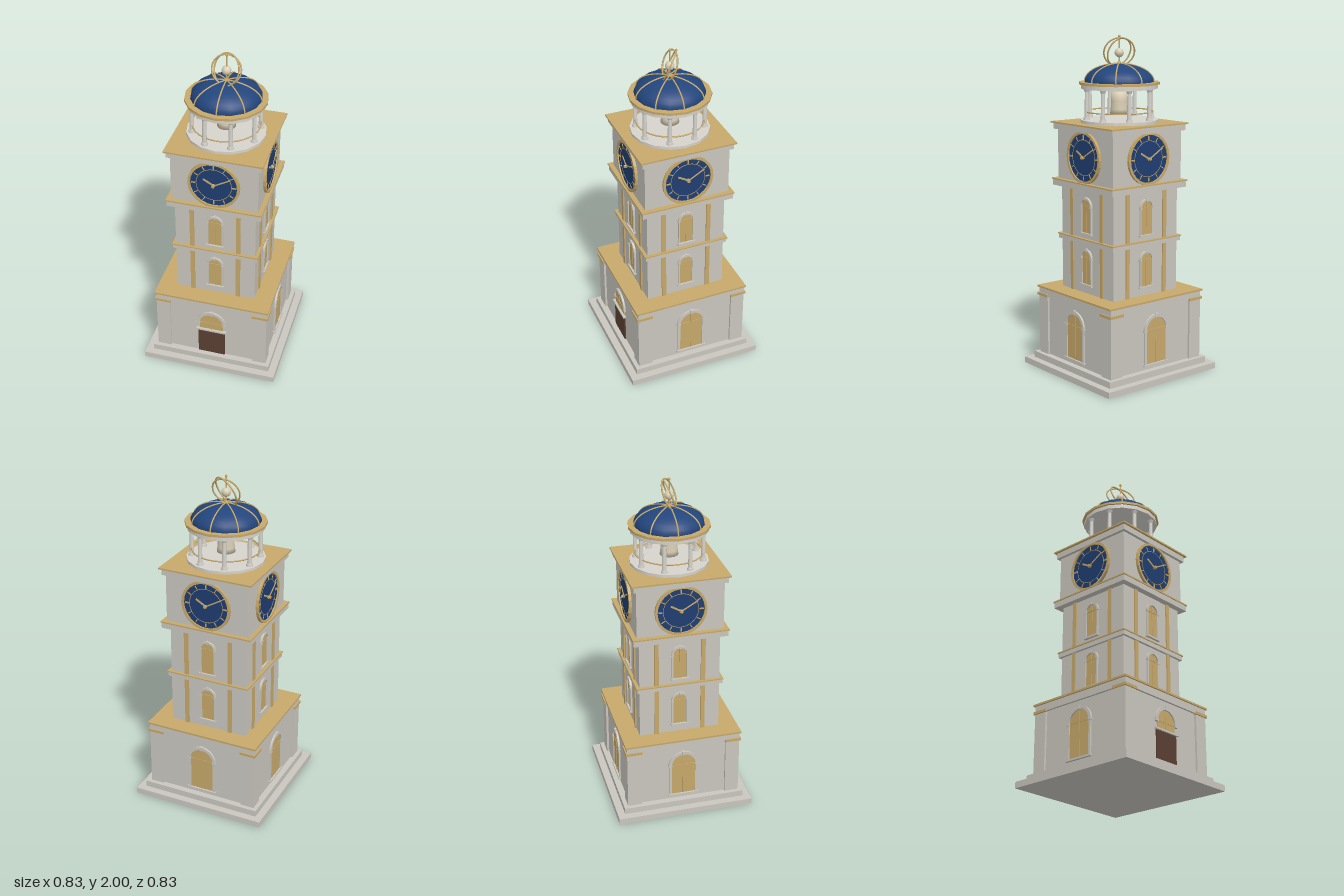
import * as THREE from 'three';

const mat = (name, color) => Object.assign(new THREE.MeshStandardMaterial({ color }), { name });

export function createModel() {
  const stone = mat('stone', 0xc9c6be), pale = mat('pale stone', 0xd6d3cc), gold = mat('gold', 0xc6a86a);
  const blue = mat('dome blue', 0x22457c), dialBlue = mat('dial blue', 0x1f3d70);
  const brown = mat('door brown', 0x5a4032), cream = mat('bell cream', 0xd9ceb4);
  const tower = new THREE.Group();
  tower.name = 'clockTower';

  const add = (parent, name, geo, m, x = 0, y = 0, z = 0) => {
    const mesh = new THREE.Mesh(geo, m);
    mesh.name = name;
    mesh.position.set(x, y, z);
    parent.add(mesh);
    return mesh;
  };
  const group = (parent, name) => {
    const g = new THREE.Group();
    g.name = name;
    parent.add(g);
    return g;
  };
  // box spanning y0..y1 and z0..z1, centred on x
  const box = (p, name, m, x, w, y0, y1, z0, z1) =>
    add(p, name, new THREE.BoxGeometry(w, y1 - y0, z1 - z0), m, x, (y0 + y1) / 2, (z0 + z1) / 2);
  const tier = (name, m, half, y0, y1) => box(tower, name, m, 0, half * 2, y0, y1, -half, half);
  const drum = (p, name, m, r0, r1, y0, y1, n = 16, x = 0, z = 0) =>
    add(p, name, new THREE.CylinderGeometry(r1, r0, y1 - y0, n), m, x, (y0 + y1) / 2, z);
  const extrude = (shape, depth) =>
    new THREE.ExtrudeGeometry(shape, { depth, bevelEnabled: false, curveSegments: 12 });

  // square tiers from the ground up
  tier('lowerStep', stone, 0.414, 0, 0.037);
  tier('upperStep', stone, 0.37, 0.037, 0.075);
  tier('baseBody', stone, 0.332, 0.075, 0.44);
  tier('baseCornice', stone, 0.345, 0.44, 0.484);
  tier('baseCorniceTop', gold, 0.354, 0.484, 0.495);
  tier('shaft', stone, 0.242, 0.495, 1.115);
  tier('middleBand', stone, 0.257, 0.792, 0.818);
  tier('middleBandTop', gold, 0.262, 0.818, 0.825);
  tier('clockLedge', stone, 0.28, 1.115, 1.15);
  tier('clockLedgeTop', gold, 0.285, 1.15, 1.158);
  tier('clockRoom', stone, 0.257, 1.158, 1.45);
  tier('clockCornice', stone, 0.275, 1.45, 1.486);
  tier('clockCorniceTop', gold, 0.288, 1.486, 1.495);

  // corner piers with gilded caps
  for (const x of [-1, 1]) for (const z of [-1, 1]) {
    add(tower, 'cornerPier', new THREE.BoxGeometry(0.085, 0.365, 0.085), stone, x * 0.3025, 0.2575, z * 0.3025);
    add(tower, 'pierCap', new THREE.BoxGeometry(0.098, 0.016, 0.098), gold, x * 0.304, 0.442, z * 0.304);
  }

  // arched window: r is the pane half width, wall is the z of the wall face
  const archWindow = (p, r, t, bottom, spring, wall, depth, jambs = true) => {
    const g = group(p, 'archedWindow');
    const pane = new THREE.Shape();
    pane.moveTo(-r, bottom);
    pane.lineTo(r, bottom);
    pane.lineTo(r, spring);
    pane.absarc(0, spring, r, 0, Math.PI, false);
    add(g, 'pane', extrude(pane, 0.004), gold, 0, 0, wall);
    const ring = new THREE.Shape();
    ring.absarc(0, spring, r + t, 0, Math.PI, false);
    ring.absarc(0, spring, r, Math.PI, 0, true);
    add(g, 'archMoulding', extrude(ring, depth), stone, 0, 0, wall);
    box(g, 'mullion', gold, 0, r * 0.09, bottom, spring + r, wall, wall + 0.007);
    box(g, 'transom', gold, 0, r * 2, spring - 0.003, spring + 0.003, wall, wall + 0.007);
    box(g, 'keystone', stone, 0, t * 1.1, spring + r - 0.002, spring + r + t + 0.004, wall, wall + depth + 0.003);
    for (const s of [-1, 1]) {
      box(g, 'impost', stone, s * (r + t / 2), t * 1.25, spring - 0.008, spring + 0.004, wall, wall + depth + 0.001);
      if (jambs) box(g, 'jamb', stone, s * (r + t * 0.4), t * 0.8, bottom, spring, wall, wall + depth * 0.8);
    }
    if (jambs) box(g, 'sill', stone, 0, (r + t) * 2 + 0.006, bottom - 0.011, bottom, wall, wall + depth + 0.003);
    return g;
  };

  // clock with rim, hour marks and hands, centred on its own origin
  const clock = (p, y, wall) => {
    const g = group(p, 'clock');
    g.position.set(0, y, wall);
    add(g, 'dial', new THREE.CylinderGeometry(0.145, 0.145, 0.008, 32), dialBlue, 0, 0, 0.004).rotation.x = Math.PI / 2;
    const rim = new THREE.Shape().absarc(0, 0, 0.153, 0, Math.PI * 2);
    rim.holes.push(new THREE.Path().absarc(0, 0, 0.138, 0, Math.PI * 2, true));
    add(g, 'rim', extrude(rim, 0.016), gold);
    add(g, 'minuteRing', new THREE.TorusGeometry(0.104, 0.0018, 4, 32), gold, 0, 0, 0.008);
    const bar = (name, angle, r0, r1, w, z) => {
      const m = add(g, name, new THREE.BoxGeometry(w, r1 - r0, 0.004), gold,
        -Math.sin(angle) * (r0 + r1) / 2, Math.cos(angle) * (r0 + r1) / 2, z);
      m.rotation.z = angle;
    };
    for (let i = 0; i < 12; i++) bar('hourMark', i * Math.PI / 6, 0.108, 0.132, i % 3 ? 0.005 : 0.008, 0.009);
    bar('hourHand', Math.PI / 3, -0.01, 0.07, 0.01, 0.013);
    bar('minuteHand', -Math.PI / 3, -0.012, 0.112, 0.007, 0.017);
    add(g, 'hub', new THREE.CylinderGeometry(0.009, 0.009, 0.026, 12), gold, 0, 0, 0.014).rotation.x = Math.PI / 2;
  };

  // the four sides
  ['front', 'left', 'back', 'right'].forEach((name, i) => {
    const side = group(tower, name + 'Side');
    side.rotation.y = i * Math.PI / 2;
    if (i === 0) {
      box(side, 'door', brown, 0, 0.166, 0.075, 0.255, 0.33, 0.34);
      box(side, 'doorLintel', stone, 0, 0.19, 0.255, 0.266, 0.33, 0.35);
      archWindow(side, 0.073, 0.018, 0.266, 0.312, 0.332, 0.012, false);
    } else archWindow(side, 0.073, 0.018, 0.108, 0.312, 0.332, 0.012);
    for (const dy of [0, 0.308]) {
      archWindow(side, 0.04, 0.011, 0.552 + dy, 0.711 + dy, 0.242, 0.013);
      for (const s of [-1, 1])
        box(side, 'giltStrip', gold, s * 0.14, 0.026, dy ? 0.825 : 0.495, dy ? 1.115 : 0.792, 0.24, 0.25);
    }
    clock(side, 1.305, 0.257);
  });

  // open lantern with eight columns
  const lantern = group(tower, 'lantern');
  drum(lantern, 'lanternFloor', pale, 0.23, 0.23, 1.495, 1.512);
  for (let i = 0; i < 8; i++) {
    const a = (i + 0.5) * Math.PI / 4, x = Math.sin(a) * 0.197, z = Math.cos(a) * 0.197;
    drum(lantern, 'columnBase', pale, 0.02, 0.018, 1.512, 1.528, 10, x, z);
    drum(lantern, 'column', pale, 0.0135, 0.011, 1.528, 1.675, 10, x, z);
    drum(lantern, 'columnCapital', pale, 0.013, 0.02, 1.675, 1.692, 10, x, z);
  }
  add(lantern, 'railing', new THREE.TorusGeometry(0.197, 0.004, 6, 32), gold, 0, 1.558, 0).rotation.x = Math.PI / 2;
  const bell = [[0, 1.672], [0.046, 1.672], [0.048, 1.62], [0.05, 1.57], [0.054, 1.542], [0, 1.542]];
  add(lantern, 'bell', new THREE.LatheGeometry(bell.map(([r, y]) => new THREE.Vector2(r, y)).reverse(), 20), cream);
  drum(lantern, 'bellHanger', gold, 0.005, 0.005, 1.67, 1.695, 8);
  drum(lantern, 'entablature', pale, 0.226, 0.226, 1.692, 1.716);
  drum(lantern, 'entablatureTop', gold, 0.237, 0.237, 1.716, 1.73);

  // flattened dome with gilded ribs
  const dome = new THREE.SphereGeometry(0.203, 16, 10, 0, Math.PI * 2, 0, Math.PI / 2);
  dome.scale(1, 0.105 / 0.203, 1);
  add(tower, 'dome', dome, blue, 0, 1.73, 0);
  const ribPath = new THREE.CatmullRomCurve3(Array.from({ length: 9 }, (_, k) => {
    const t = k * Math.PI / 16;
    return new THREE.Vector3(0, 1.73 + 0.106 * Math.sin(t), 0.204 * Math.cos(t));
  }));
  const rib = new THREE.TubeGeometry(ribPath, 16, 0.0045, 6);
  for (let i = 0; i < 8; i++) add(tower, 'domeRib', rib, gold).rotation.y = i * Math.PI / 4;

  // finial: globe on a spindle inside tilted rings
  const finial = group(tower, 'finial');
  drum(finial, 'spindle', gold, 0.005, 0.004, 1.83, 1.992, 8);
  drum(finial, 'spindleFoot', gold, 0.016, 0.008, 1.828, 1.848, 10);
  add(finial, 'globe', new THREE.SphereGeometry(0.027, 16, 12), cream, 0, 1.897, 0);
  add(finial, 'tip', new THREE.SphereGeometry(0.008, 10, 8), gold, 0, 1.992, 0);
  [[0.084, -0.35, 0], [0.09, -0.4, -0.52]].forEach(([r, tilt, yaw]) =>
    add(finial, 'ring', new THREE.TorusGeometry(r, 0.0048, 6, 40), gold, 0, 1.902, 0)
      .rotation.set(tilt, yaw, 0, 'YXZ'));
  return tower;
}
